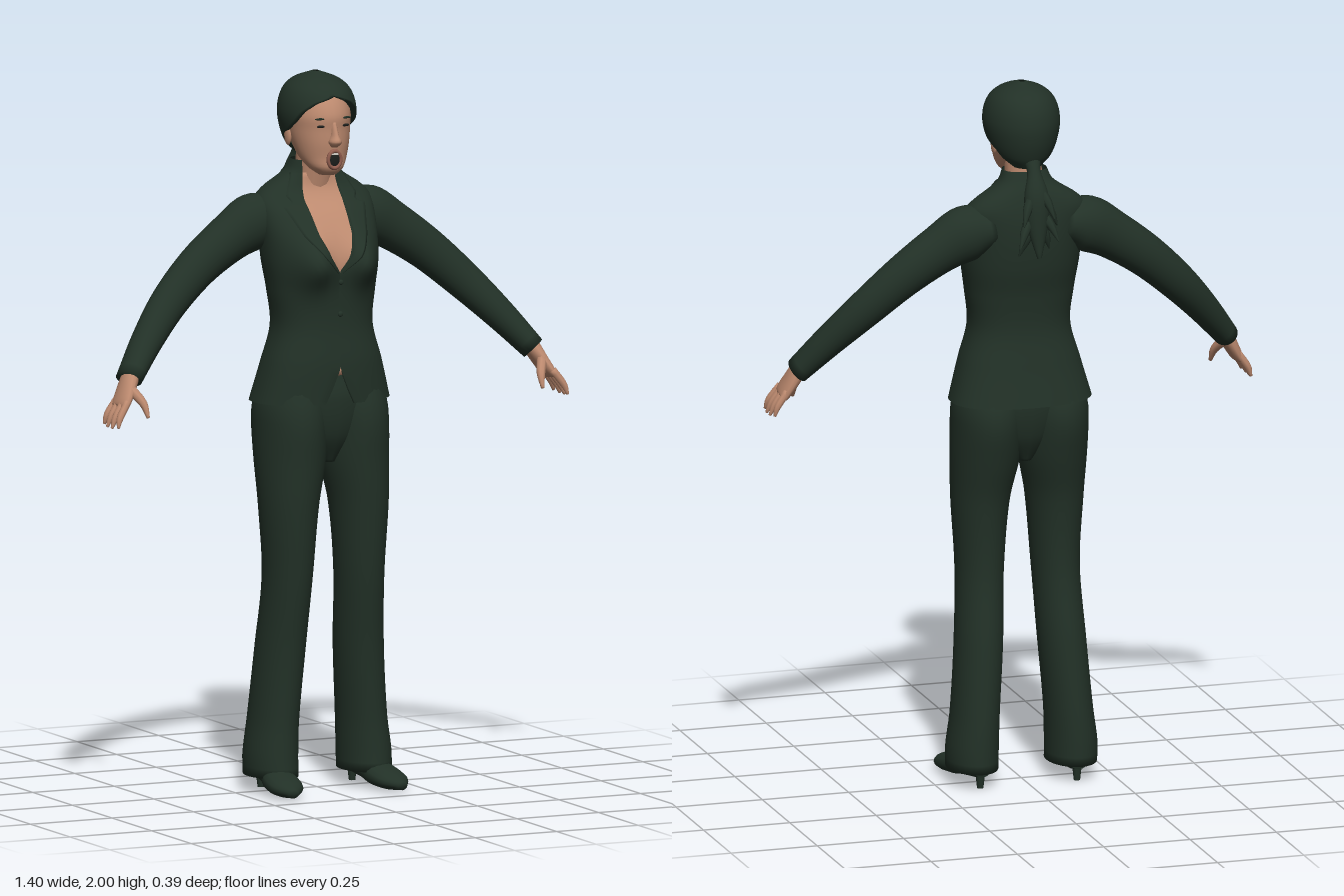
import * as THREE from 'three';

const mat = (name, color) => Object.assign(new THREE.MeshStandardMaterial({ color, side: THREE.DoubleSide }), { name });
const dark = mat('dark green cloth and hair', 0x223127);
const skin = mat('skin', 0xbd8a6f);
const lip = mat('lips', 0x935f50);
const black = mat('mouth and eyes', 0x1c1f1d);
const white = mat('teeth', 0xd8d4cc);

// Smooth interpolation through keys [param, a, b, ...]
function curve(keys) {
  const slope = (i, c) => {
    const a = keys[Math.max(i - 1, 0)], b = keys[Math.min(i + 1, keys.length - 1)];
    return (b[c] - a[c]) / (b[0] - a[0]);
  };
  return (p) => {
    let i = 0;
    while (i < keys.length - 2 && p > keys[i + 1][0]) i++;
    const A = keys[i], B = keys[i + 1], h = B[0] - A[0];
    const u = THREE.MathUtils.clamp((p - A[0]) / h, 0, 1), u2 = u * u, u3 = u2 * u;
    return A.slice(1).map((a, k) => a * (2 * u3 - 3 * u2 + 1) + B[k + 1] * (3 * u2 - 2 * u3)
      + h * (slope(i, k + 1) * (u3 - 2 * u2 + u) + slope(i + 1, k + 1) * (u3 - u2)));
  };
}

// Straight-line interpolation through pairs
function linear(keys, p) {
  let i = 0;
  while (i < keys.length - 2 && p > keys[i + 1][0]) i++;
  const [a, b] = [keys[i], keys[i + 1]];
  return THREE.MathUtils.lerp(a[1], b[1], THREE.MathUtils.clamp((p - a[0]) / (b[0] - a[0]), 0, 1));
}

// Skin a stack of cross-sections; closed rings can have end caps
function skinRows(name, material, rows, closed = true, caps = closed) {
  const n = rows[0].length, m = rows.length, pts = rows.flat(), idx = [];
  for (let i = 0; i < m - 1; i++) {
    for (let j = 0; j < (closed ? n : n - 1); j++) {
      const k = (j + 1) % n, a = i * n + j, b = i * n + k;
      idx.push(a, b, a + n, b, b + n, a + n);
    }
  }
  if (caps) {
    for (const [r, flip] of [[0, true], [m - 1, false]]) {
      const c = new THREE.Vector3();
      rows[r].forEach((p) => c.addScaledVector(p, 1 / n));
      const ci = pts.push(c) - 1;
      for (let j = 0; j < n; j++) {
        const a = r * n + j, b = r * n + (j + 1) % n;
        idx.push(...(flip ? [b, a, ci] : [a, b, ci]));
      }
    }
  }
  const g = new THREE.BufferGeometry().setFromPoints(pts);
  g.setIndex(idx);
  g.computeVertexNormals();
  const mesh = new THREE.Mesh(g, material);
  mesh.name = name;
  return mesh;
}

const steps = (a, b, n, f) => Array.from({ length: n + 1 }, (_, i) => f(a + (b - a) * i / n));
const around = (n, f) => Array.from({ length: n }, (_, j) => f(j / n * Math.PI * 2));
const power = (v, e) => Math.sign(v) * Math.abs(v) ** e;

// Upright loft, keys [y, centre x, half width, front z, back z]
function loft(name, material, keys, side = 1, rows = 30, seg = 28) {
  const f = curve(keys);
  return skinRows(name, material, steps(keys[0][0], keys.at(-1)[0], rows, (y) => {
    const [cx, rx, zf, zb] = f(y);
    return around(seg, (t) => new THREE.Vector3(side * cx + rx * Math.sin(t), y, (zf + zb) / 2 + (zf - zb) / 2 * Math.cos(t)));
  }));
}

// Limb along a path, keys [x, y, z, radius across, radius along ref]
function limb(name, material, keys, side = 1, ref = [0, 0, 1], rows = 20, seg = 16) {
  const f = curve(keys.map((k, i) => [i, side * k[0], ...k.slice(1)])), end = keys.length - 1;
  const at = (p) => new THREE.Vector3(...f(p).slice(0, 3));
  return skinRows(name, material, steps(0, end, rows, (p) => {
    const [, , , ra, rb] = f(p), c = at(p);
    const T = at(Math.min(p + 0.05, end)).sub(at(Math.max(p - 0.05, 0))).normalize();
    const Z = new THREE.Vector3(...ref);
    Z.addScaledVector(T, -Z.dot(T)).normalize();
    const X = T.clone().cross(Z);
    return around(seg, (t) => c.clone().addScaledVector(X, ra * Math.sin(t)).addScaledVector(Z, rb * Math.cos(t)));
  }));
}

function place(name, geo, material, x, y, z, sx = 1, sy = 1, sz = 1) {
  const m = new THREE.Mesh(geo, material);
  m.name = name;
  m.position.set(x, y, z);
  m.scale.set(sx, sy, sz);
  return m;
}

// Torso surface: t is the angle from the front, size scales the section
const torso = curve([[1.09, 0.2, 0.15, -0.122], [1.2, 0.17, 0.15, -0.1], [1.3, 0.143, 0.14, -0.086],
  [1.4, 0.152, 0.14, -0.095], [1.48, 0.163, 0.14, -0.112], [1.55, 0.168, 0.125, -0.12], [1.61, 0.172, 0.085, -0.12],
  [1.65, 0.17, 0.045, -0.115], [1.68, 0.14, 0.025, -0.108], [1.705, 0.1, 0.02, -0.1], [1.725, 0.075, 0.02, -0.09],
  [1.755, 0.062, 0.02, -0.075]]);
function torsoPoint(y, t, size = 1) {
  const [rx, zf, zb] = torso(y), x = rx * power(Math.sin(t), 0.85);
  let z = (zf - zb) / 2 * power(Math.cos(t), 0.85);
  if (Math.cos(t) > 0) z += 0.05 * Math.exp(-(((Math.abs(x) - 0.075) / 0.05) ** 2) - ((y - 1.48) / 0.065) ** 2);
  return new THREE.Vector3(x * size, y, (zf + zb) / 2 + z * size);
}
const angleAt = (y, w) => Math.asin(Math.min(0.97, w / torso(y)[0]) ** (1 / 0.85));
const opening = [[1.09, 0.045], [1.13, 0.025], [1.19, 0], [1.455, 0], [1.5, 0.03], [1.56, 0.052], [1.65, 0.06], [1.72, 0.05], [1.755, 0.05]];
const lapelWidth = [[1.455, 0.006], [1.54, 0.035], [1.636, 0.062], [1.642, 0.03], [1.66, 0.045], [1.72, 0.025]];

// Ring that leaves a gap at the front and turns its edges inward
function openRing(a, n, point, inset) {
  const r = steps(a, Math.PI * 2 - a, n, (t) => point(t, 1)), s = a > 0.02 ? inset : 1;
  return [point(a, s), ...r, point(Math.PI * 2 - a, s)];
}

export function createModel() {
  const model = new THREE.Group();

  // Jacket, chest and lapels
  model.add(skinRows('jacket', dark, steps(1.09, 1.755, 64, (y) =>
    openRing(angleAt(y, linear(opening, y)), 48, (t, s) => torsoPoint(y, t, s), 0.95)), false));
  model.add(skinRows('chest', skin, steps(1.17, 1.72, 40, (y) => around(48, (t) => torsoPoint(y, t, 0.955)))));
  for (const s of [1, -1]) {
    model.add(skinRows('lapel', dark, steps(1.455, 1.72, 40, (y) => {
      const w = linear(opening, y), a = angleAt(y, w), b = angleAt(y, w + linear(lapelWidth, y));
      return [torsoPoint(y, s * a, 1), ...steps(a, b, 5, (t) => torsoPoint(y, s * t, 1.04)), torsoPoint(y, s * b, 1)];
    }), false));
  }
  for (const y of [1.34, 1.43]) {
    model.add(place('button', new THREE.SphereGeometry(0.008, 10, 8), dark, 0.005, y, torsoPoint(y, 0).z, 1, 1, 0.5));
  }

  // Trousers
  model.add(loft('hips', dark, [[0.92, 0, 0.03, 0.09, -0.05], [1, 0, 0.12, 0.13, -0.09],
    [1.1, 0, 0.17, 0.143, -0.105], [1.17, 0, 0.15, 0.13, -0.085]]));

  for (const s of [1, -1]) {
    const side = s > 0 ? 'left' : 'right';
    model.add(loft(side + 'TrouserLeg', dark, [[0.045, 0.143, 0.07, 0.105, -0.1], [0.1, 0.143, 0.071, 0.1, -0.1],
      [0.2, 0.135, 0.066, 0.095, -0.095], [0.4, 0.12, 0.066, 0.103, -0.075], [0.6, 0.11, 0.066, 0.127, -0.05],
      [0.8, 0.107, 0.08, 0.143, -0.062], [0.93, 0.097, 0.095, 0.15, -0.095], [1.02, 0.095, 0.097, 0.155, -0.115],
      [1.08, 0.093, 0.096, 0.148, -0.112], [1.14, 0.09, 0.08, 0.13, -0.09]], s, 44));

    // Shoe with a thin heel
    const shoe = new THREE.Group();
    shoe.name = side + 'Shoe';
    shoe.add(limb('upper', dark, [[0.14, 0.065, -0.085, 0.03, 0.03], [0.14, 0.062, -0.05, 0.035, 0.035],
      [0.148, 0.05, 0.03, 0.04, 0.035], [0.155, 0.036, 0.09, 0.05, 0.032], [0.162, 0.026, 0.15, 0.046, 0.024],
      [0.167, 0.018, 0.198, 0.015, 0.012]], s, [0, 1, 0]));
    shoe.add(place('heel', new THREE.CylinderGeometry(0.016, 0.009, 0.06, 12), dark, s * 0.14, 0.03, -0.066));
    model.add(shoe);

    // Sleeve
    model.add(limb(side + 'Sleeve', dark, [[0.1, 1.6, -0.05, 0.05, 0.06], [0.17, 1.587, -0.045, 0.078, 0.07],
      [0.25, 1.545, -0.04, 0.068, 0.062], [0.35, 1.475, -0.03, 0.06, 0.055], [0.45, 1.385, -0.005, 0.053, 0.05],
      [0.54, 1.29, 0.04, 0.044, 0.046], [0.62, 1.195, 0.09, 0.034, 0.044]], s, [0, 0, 1], 30, 24));

    // Hand with four fingers and a thumb
    const hand = new THREE.Group();
    hand.name = side + 'Hand';
    hand.add(limb('palm', skin, [[0.61, 1.21, 0.085, 0.024, 0.03], [0.635, 1.165, 0.1, 0.02, 0.041],
      [0.655, 1.13, 0.112, 0.016, 0.045], [0.661, 1.12, 0.114, 0.009, 0.038]], s));
    for (let k = -1.5; k < 2; k++) {
      hand.add(limb('finger', skin, [[0.652, 1.14, 0.113 + k * 0.023, 0.011, 0.011],
        [0.68, 1.1, 0.118 + k * 0.027, 0.01, 0.01], [0.697 - Math.abs(k) * 0.005, 1.066 + Math.abs(k) * 0.004, 0.121 + k * 0.03, 0.004, 0.004]],
      s, [0, 0, 1], 8, 8));
    }
    hand.add(limb('thumb', skin, [[0.63, 1.17, 0.125, 0.015, 0.015], [0.61, 1.135, 0.16, 0.012, 0.012],
      [0.605, 1.098, 0.181, 0.005, 0.005]], s, [0, 0, 1], 8, 8));
    model.add(hand);
  }

  // Neck and face
  model.add(limb('neck', skin, [[0, 1.62, -0.04, 0.06, 0.05], [0, 1.7, -0.024, 0.052, 0.05], [0, 1.8, -0.01, 0.052, 0.055]]));
  const head = new THREE.Group();
  head.name = 'head';
  model.add(head);
  head.add(loft('face', skin, [[1.722, 0, 0.025, 0.092, 0.04], [1.74, 0, 0.048, 0.108, 0], [1.77, 0, 0.066, 0.108, -0.04],
    [1.81, 0, 0.078, 0.112, -0.075], [1.85, 0, 0.085, 0.112, -0.1], [1.89, 0, 0.088, 0.112, -0.11],
    [1.94, 0, 0.075, 0.086, -0.095], [1.98, 0, 0.035, 0.04, -0.05]]));
  head.add(loft('nose', skin, [[1.803, 0, 0.01, 0.122, 0.09], [1.817, 0, 0.018, 0.139, 0.09],
    [1.835, 0, 0.011, 0.131, 0.09], [1.872, 0, 0.008, 0.114, 0.09]], 1, 12, 14));
  const ball = new THREE.SphereGeometry(1, 16, 12);
  head.add(place('mouth', ball, black, 0, 1.768, 0.108, 0.02, 0.024, 0.008));
  head.add(place('lips', new THREE.TorusGeometry(0.019, 0.005, 8, 24), lip, 0, 1.768, 0.111, 1, 1.25, 1.3));
  head.add(place('teeth', new THREE.BoxGeometry(0.024, 0.005, 0.006), white, 0, 1.784, 0.113));
  for (const s of [1, -1]) {
    head.add(place('eye', ball, black, s * 0.035, 1.861, 0.102, 0.015, 0.004, 0.005));
    head.add(place('eyebrow', ball, dark, s * 0.037, 1.882, 0.102, 0.019, 0.003, 0.005));
    head.add(place('ear', ball, skin, s * 0.083, 1.825, -0.012, 0.008, 0.028, 0.017));
  }

  // Hair cap, open around the face
  const cap = curve([[1.77, 0.045, 0.02, -0.1], [1.8, 0.078, 0.075, -0.118], [1.85, 0.099, 0.112, -0.133],
    [1.9, 0.105, 0.12, -0.135], [1.95, 0.091, 0.1, -0.118], [1.98, 0.06, 0.06, -0.085], [2, 0.008, 0, -0.025]]);
  const hairline = [[1.77, 2.1], [1.82, 1.85], [1.845, 1.4], [1.87, 1.1], [1.9, 0.85], [1.925, 0.5], [1.942, 0]];
  head.add(skinRows('hair', dark, steps(1.77, 2, 50, (y) => {
    const [rx, zf, zb] = cap(y), c = (zf + zb) / 2, r = (zf - zb) / 2;
    return openRing(linear(hairline, y), 40, (t, s) =>
      new THREE.Vector3(0.003 + s * rx * Math.sin(t), y, c + s * r * Math.cos(t)), 0.82);
  }), false));

  // Ponytail with ragged locks
  const tail = new THREE.Group();
  tail.name = 'ponytail';
  tail.add(limb('tail', dark, [[0, 1.8, -0.09, 0.03, 0.025], [0, 1.765, -0.115, 0.019, 0.018], [0, 1.7, -0.138, 0.035, 0.027],
    [0, 1.62, -0.147, 0.03, 0.025], [0, 1.53, -0.165, 0.006, 0.006]]));
  for (let k = 0; k < 8; k++) {
    const x = (k % 2 ? 1 : -1) * (0.02 + 0.006 * (k % 3)), y = 1.72 - k * 0.016, out = k % 4 < 2 ? -0.04 : 0.008;
    tail.add(limb('lock', dark, [[x * 0.5, y, -0.138, 0.014, 0.014], [x * 1.3, y - 0.035, -0.142 + out * 0.5, 0.013, 0.012],
      [x * 1.9, y - 0.075, -0.144 + out, 0.002, 0.002]], 1, [0, 0, 1], 6, 7));
  }
  head.add(tail);
  return model;
}
